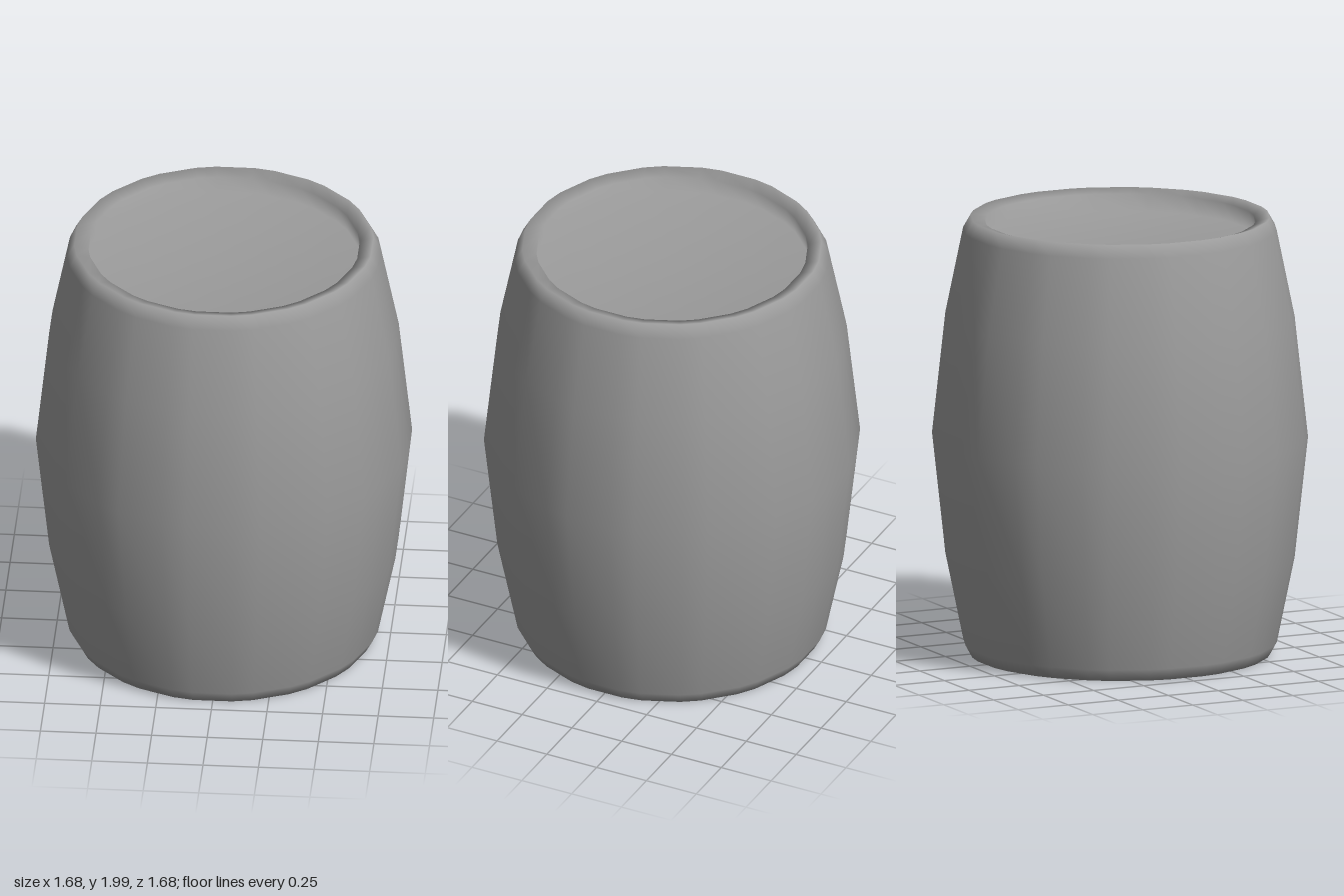
import * as THREE from 'three';

const STAVES = 16;

// Turned shell whose outline has wide faces joined by narrow bevels
function staveLathe(points) {
  const geo = new THREE.LatheGeometry(points, STAVES * 2);
  const pos = geo.attributes.position;
  const rows = points.length;
  const step = (Math.PI * 2) / STAVES;
  const half = THREE.MathUtils.degToRad(7.3);
  for (let i = 0; i < pos.count; i++) {
    const column = Math.floor(i / rows);
    const r = points[i % rows].x;
    const angle = Math.floor(column / 2) * step + (column % 2 ? half : -half);
    pos.setXYZ(i, r * Math.sin(angle), pos.getY(i), r * Math.cos(angle));
  }
  return geo;
}

export function createModel() {
  const model = new THREE.Group();
  model.name = 'barrel';
  const grey = new THREE.MeshStandardMaterial({ color: 0x9c9c9c });
  grey.name = 'grey';

  // Base, bulging wall, rounded rim and shallow recessed top
  const profile = [
    [0, 0.01], [0.675, 0.005], [0.705, 0.06], [0.785, 0.45], [0.845, 1],
    [0.785, 1.55], [0.705, 1.94], [0.672, 1.998], [0.61, 1.98],
    [0.615, 1.9], [0, 1.9],
  ].map(([r, y]) => new THREE.Vector2(r, y));

  const shell = new THREE.Mesh(staveLathe(profile), grey);
  shell.name = 'barrelShell';
  model.add(shell);
  return model;
}
